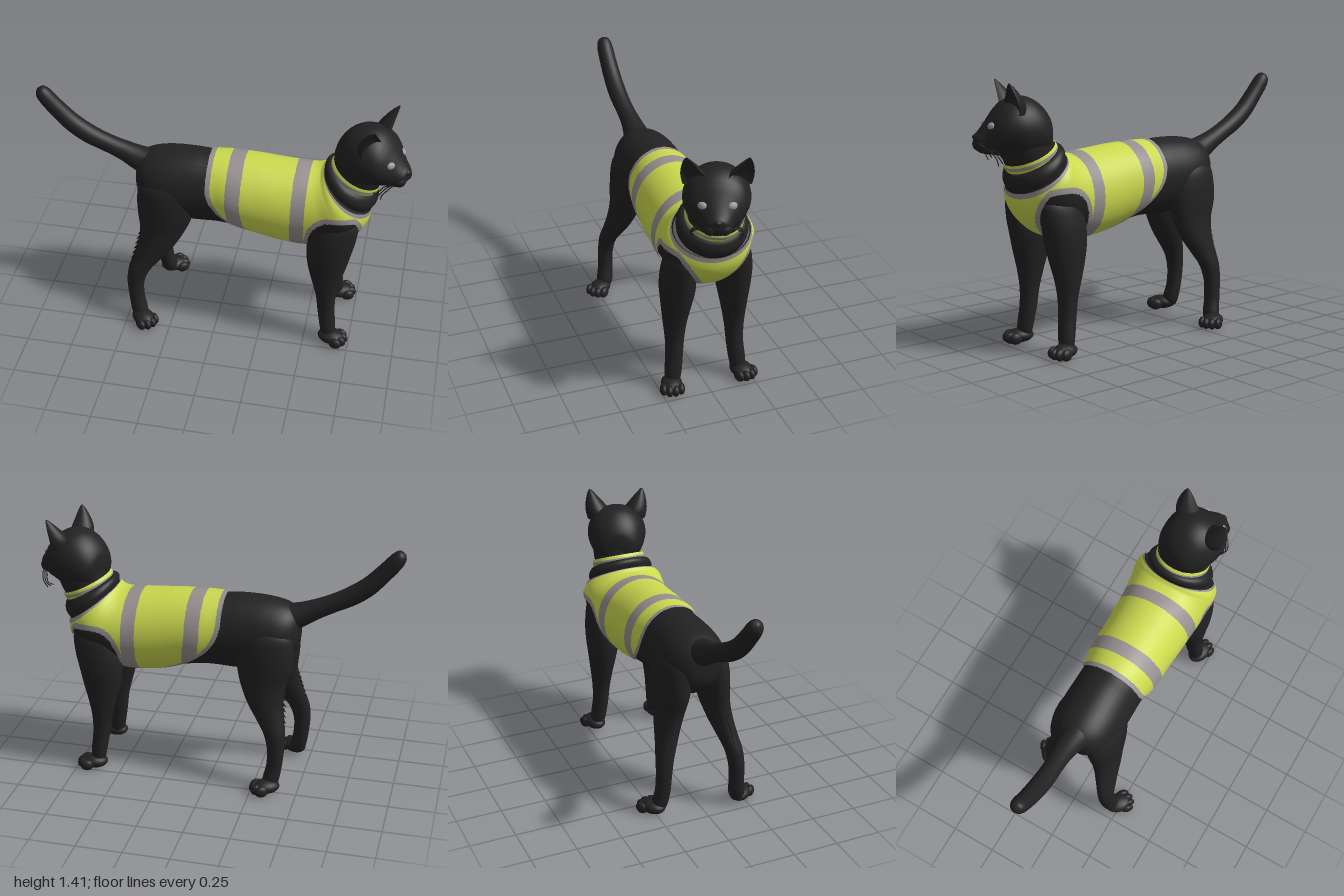
import * as THREE from 'three';

const V = (x, y, z) => new THREE.Vector3(x, y, z);
const mat = (name, color) => Object.assign(new THREE.MeshStandardMaterial({ color }), { name });

// Cross-section given by its top point, bottom point and half width
const slice = ([tx, ty, bx, by, hw]) => ({
  c: V((tx + bx) / 2, (ty + by) / 2, 0), a: V((tx - bx) / 2, (ty - by) / 2, 0), b: V(0, 0, hw),
});
// Level cross-section given by its centre and two radii
const ring = ([x, y, z, rx, rz]) => ({ c: V(x, y, z), a: V(rx, 0, 0), b: V(0, 0, rz) });
const grow = (f, d) => ({
  c: f.c, a: f.a.clone().setLength(f.a.length() + d), b: f.b.clone().setLength(f.b.length() + d),
});
const circle = (t) => [Math.cos(t), Math.sin(t)];

// Smooth skin over cross-sections; paint(point, t) picks a material index, or -1 for a hole
function loft(frames, segs, sides, { shape = circle, paint = null, caps = true } = {}) {
  const [C, A, B] = ['c', 'a', 'b'].map((k) =>
    new THREE.CatmullRomCurve3(frames.map((f) => f[k]), false, 'catmullrom', 0.5));
  const pts = [];
  for (let i = 0; i <= segs; i++) {
    const c = C.getPoint(i / segs), a = A.getPoint(i / segs), b = B.getPoint(i / segs);
    for (let j = 0; j < sides; j++) {
      const [u, v] = shape((j / sides) * Math.PI * 2);
      pts.push(c.clone().addScaledVector(a, u).addScaledVector(b, v));
    }
  }
  const dir = frames.at(-1).c.clone().sub(frames[0].c);
  const flip = A.getPoint(0.5).cross(B.getPoint(0.5)).dot(dir) < 0;
  const groups = [[], [], []];
  const tri = (p, q, r, t) => {
    const mid = pts[p].clone().add(pts[q]).add(pts[r]).divideScalar(3);
    const g = paint ? paint(mid, t) : 0;
    if (g >= 0) groups[g].push(...(flip ? [p, r, q] : [p, q, r]));
  };
  for (let i = 0; i < segs; i++) for (let j = 0; j < sides; j++) {
    const k = (j + 1) % sides, p = i * sides, q = p + sides, t = (i + 0.5) / segs;
    tri(p + j, p + k, q + j, t);
    tri(p + k, q + k, q + j, t);
  }
  if (caps) {
    const s = pts.push(frames[0].c, frames.at(-1).c) - 2, e = segs * sides;
    for (let j = 0; j < sides; j++) {
      const k = (j + 1) % sides;
      tri(s, k, j, 0);
      tri(s + 1, e + j, e + k, 1);
    }
  }
  const geo = new THREE.BufferGeometry().setFromPoints(pts);
  geo.setIndex(groups.flat());
  if (paint) {
    let start = 0;
    groups.forEach((g, i) => { geo.addGroup(start, g.length, i); start += g.length; });
  }
  geo.computeVertexNormals();
  return geo;
}

export function createModel() {
  const model = new THREE.Group();
  model.name = 'catInSafetyVest';
  const fur = mat('blackFur', 0x222222);
  const yellow = mat('vestYellow', 0xcbd94f);
  const silver = mat('reflectiveSilver', 0x969190);
  const eyeGrey = mat('eyeGrey', 0x9a9a9a);

  const add = (parent, name, geo, material = fur) => {
    const m = new THREE.Mesh(geo, material);
    m.name = name;
    parent.add(m);
    return m;
  };
  const ball = (parent, name, pos, size, material = fur) => {
    const m = add(parent, name, new THREE.SphereGeometry(1, 20, 14), material);
    m.position.set(...pos);
    m.scale.set(...size);
    return m;
  };

  const body = new THREE.Group();
  body.name = 'body';
  body.position.z = -0.01;
  model.add(body);

  // Torso from rump to chest
  const torso = [
    [-.462, .93, -.462, .88, .03], [-.44, .99, -.45, .78, .10], [-.38, 1.025, -.38, .70, .155],
    [-.28, 1.045, -.26, .65, .178], [-.15, 1.05, -.14, .635, .178], [-.05, 1.042, 0, .64, .178],
    [.06, 1.042, .1, .635, .195], [.2, 1.037, .22, .61, .198], [.32, 1.027, .32, .59, .203],
    [.42, 1.02, .47, .58, .21], [.49, 1.012, .65, .62, .222], [.53, 1.015, .745, .69, .23],
    [.545, 1.025, .795, .77, .222], [.555, 1.035, .81, .85, .195],
  ].map(slice);
  add(body, 'torso', loft(torso, 70, 40));

  // Vest shell: rear hem, two reflective bands, armholes and edge trim
  const paintVest = ({ x, y, z }, t) => {
    const hem = x - (-.06 + .36 * Math.max(0, (.95 - y) / .36) ** 2.2);
    if (hem < 0) return -1;
    const dx = Math.abs(x - .66) / .165, dy = Math.max(0, y - .62) / .235;
    const arch = (1 - (dx ** 2.6 + dy ** 2.6) ** (1 / 2.6)) * .17;
    const chest = (Math.abs(z) - .03 - .62 * (y - .57)) * .85;
    const armhole = Math.min(arch, chest);
    if (armhole > 0) return -1;
    const bandX = x - .15 * Math.max(0, .85 - y);
    const isTrim = hem < .026 || armhole > -.022 || t > .965;
    const isBand = (bandX > .05 && bandX < .13) || (x > .4 && x < .475);
    return isTrim || isBand ? 1 : 0;
  };
  const vest = torso.slice(4).map((f) => grow(f, .009));
  add(body, 'vest', loft(vest, 220, 160, { paint: paintVest, caps: false }), [yellow, silver]);

  // Rolled neck fur and throat
  add(body, 'neckRoll', loft([
    [.55, 1.03, .81, .84, .18], [.55, 1.07, .835, .88, .185], [.567, 1.088, .838, .925, .168],
    [.60, 1.085, .822, .955, .138],
  ].map(slice), 24, 40));
  add(body, 'neck', loft([
    [.59, 1.06, .81, .93, .13], [.605, 1.1, .835, .97, .133], [.615, 1.15, .86, 1.02, .135],
    [.64, 1.21, .88, 1.07, .13],
  ].map(slice), 20, 40));

  // Collar with a reflective centre line
  const collar = [[.576, 1.064, .828, .943, .146], [.577, 1.08, .84, .958, .149],
    [.584, 1.095, .847, .973, .149], [.597, 1.108, .85, .988, .146]].map(slice);
  const collarPaint = (p, t) => (t > .33 && t < .67 ? 1 : 0);
  add(body, 'collar', loft(collar, 18, 60, { paint: collarPaint, caps: false }),
    [yellow, silver]);

  // Tail
  add(body, 'tail', loft([
    [-.36, .94, 0, .09], [-.45, .965, 0, .07], [-.53, 1.0, 0, .056], [-.62, 1.04, .005, .05],
    [-.72, 1.09, .01, .051], [-.81, 1.155, .012, .05], [-.89, 1.24, .015, .047],
    [-.945, 1.305, .015, .044], [-.972, 1.335, .015, .032], [-.984, 1.345, .015, .008],
  ].map(([x, y, z, r]) => ({ c: V(x, y, z), a: V(r * .6, r * .8, 0), b: V(0, 0, r) })), 50, 24));

  // Legs and paws
  const frontLeg = [
    [.66, .85, .12, .04, .04], [.645, .8, .145, .11, .068], [.625, .7, .153, .125, .084],
    [.61, .6, .152, .12, .09], [.605, .5, .157, .102, .077], [.605, .4, .163, .075, .063],
    [.61, .3, .166, .054, .051], [.617, .2, .17, .047, .046], [.63, .1, .18, .043, .045],
    [.635, .03, .185, .035, .035],
  ];
  const hindLeg = [
    [-.28, .94, .08, .08, .05], [-.28, .88, .09, .15, .088], [-.285, .8, .105, .158, .09],
    [-.29, .7, .115, .15, .085], [-.305, .6, .125, .125, .075], [-.34, .5, .145, .1, .065],
    [-.385, .42, .165, .08, .055], [-.43, .34, .185, .06, .048], [-.45, .25, .195, .047, .043],
    [-.445, .15, .2, .043, .042], [-.43, .07, .21, .045, .045], [-.43, .03, .21, .03, .03],
  ];
  const paw = (name, x, z, yaw) => {
    const g = new THREE.Group();
    g.name = name;
    g.position.set(x, 0, z);
    g.rotation.y = -yaw;
    body.add(g);
    ball(g, 'pawPad', [.01, .04, 0], [.075, .038, .056]);
    [-.045, -.016, .016, .045].forEach((o) =>
      ball(g, 'toe', [.075 - Math.abs(o) * .55, .033, o], [.036, .031, .021]));
  };
  for (const s of [1, -1]) {
    add(body, 'frontLeg', loft(frontLeg.map(([x, y, z, a, b]) => ring([x, y, s * z, a, b])), 50, 28));
    paw('frontPaw', .645, s * .195, s * .25);

    // The right hind leg stands a little further forward
    const step = (y) => (s < 0 ? .075 * THREE.MathUtils.clamp((.7 - y) / .4, 0, 1) : 0);
    add(body, 'hindLeg', loft(hindLeg.map(([x, y, z, a, b]) =>
      ring([x + step(y), y, s * z, a, b])), 56, 28));
    paw('hindPaw', s > 0 ? -.41 : -.345, s * .24, s * (s > 0 ? .75 : .5));

    // Ragged fur behind the thigh
    for (let i = 0; i < 7; i++) {
      const y = .38 + i * .03;
      const tuft = add(body, 'furTuft', new THREE.ConeGeometry(.014, .045, 6));
      tuft.position.set(-.466 + Math.max(0, y - .4) * .25 + step(y), y, s * (.172 - (y - .4) * .2));
      tuft.rotation.z = 2.3;
    }
  }

  // Head, turned a little towards its right
  const head = new THREE.Group();
  head.name = 'head';
  head.position.x = .76;
  head.rotation.y = -.36;
  model.add(head);
  add(head, 'skull', loft([
    [-.152, 1.18, -.152, 1.12, .03], [-.14, 1.23, -.14, 1.06, .09], [-.1, 1.285, -.1, 1.02, .13],
    [-.04, 1.325, -.04, 1.005, .155], [.03, 1.335, .03, 1.01, .166], [.09, 1.315, .09, 1.03, .156],
    [.13, 1.28, .13, 1.04, .138], [.165, 1.235, .165, 1.045, .108], [.195, 1.195, .195, 1.05, .08],
    [.22, 1.165, .22, 1.06, .063], [.236, 1.15, .236, 1.08, .043], [.242, 1.135, .242, 1.1, .012],
  ].map(slice), 60, 40));
  ball(head, 'nose', [.232, 1.135, 0], [.018, .016, .022]);

  const crescent = (t) => [Math.cos(t) * (Math.cos(t) > 0 ? -.3 : 1), Math.sin(t)];
  for (const s of [1, -1]) {
    // Cupped ears
    add(head, 'ear', loft([
      [.075, 1.25, .095, .075, .07], [.078, 1.3, .113, .07, .062], [.085, 1.345, .13, .05, .043],
      [.094, 1.385, .143, .026, .021], [.098, 1.408, .148, .006, .005],
    ].map(([x, y, z, d, w]) => ({ c: V(x, y, s * z), a: V(d, 0, s * d * .35), b: V(-w * .35, 0, s * w) })),
    24, 28, { shape: crescent }));

    ball(head, 'cheek', [.205, 1.095, s * .034], [.038, .036, .036]);
    const eye = ball(head, 'eye', [.166, 1.192, s * .07], [.018, .021, .026], eyeGrey);
    eye.rotation.y = -s * .5;

    // Drooping whiskers
    for (let i = 0; i < 3; i++) {
      const path = new THREE.CatmullRomCurve3([
        V(.2, 1.085 - i * .008, s * .055), V(.185 - i * .015, 1.075, s * .1),
        V(.16 - i * .015, 1.04, s * .125), V(.145 - i * .02, 1.0 + i * .012, s * .11)]);
      add(head, 'whisker', new THREE.TubeGeometry(path, 14, .003, 5));
    }
  }
  return model;
}
